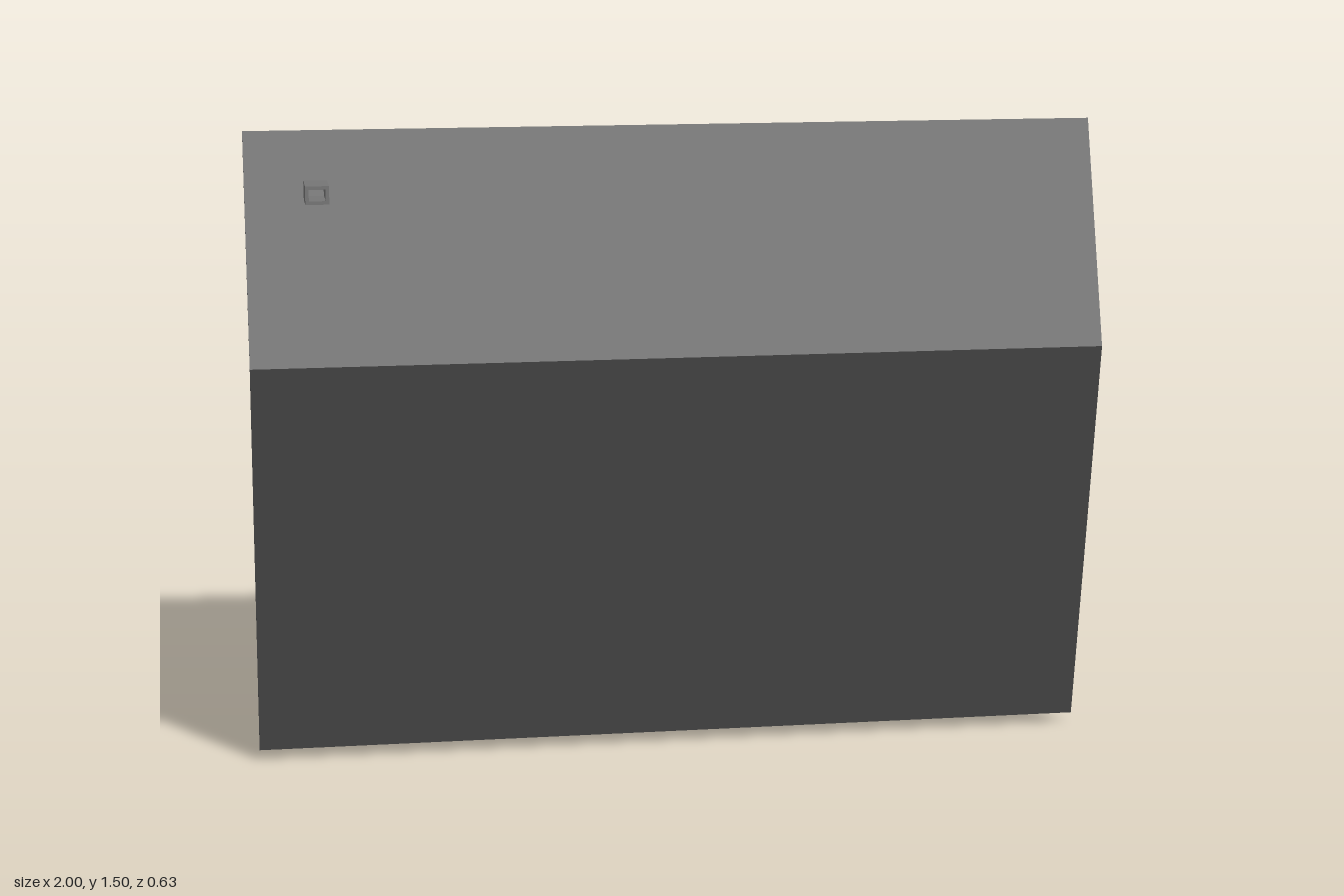
import * as THREE from 'three';

const mat = (color, side = THREE.FrontSide) => new THREE.MeshStandardMaterial({ color, side });
const LOG = mat(0x3d2314), PLANK = mat(0x8a6248), ROOF = mat(0x484848);
const STONE = mat(0x757575), GLASS = mat(0x12c8cc);
const TRUSS_X = [-0.94, -0.225, 0.225, 0.94];

export function createModel() {
  const model = new THREE.Group();
  const group = (name) => {
    const g = new THREE.Group();
    g.name = name;
    model.add(g);
    return g;
  };
  const add = (parent, name, geometry, material) => {
    const m = new THREE.Mesh(geometry, material);
    m.name = name;
    parent.add(m);
    return m;
  };
  // Round timber between two points
  const log = (parent, name, a, b, r = 0.0135) => {
    const p = new THREE.Vector3(...a), q = new THREE.Vector3(...b);
    const d = q.clone().sub(p);
    const m = add(parent, name, new THREE.CylinderGeometry(r, r, d.length(), 12), LOG);
    m.position.copy(p).add(q).multiplyScalar(0.5);
    m.quaternion.setFromUnitVectors(new THREE.Vector3(0, 1, 0), d.normalize());
    return m;
  };
  // Box from its minimum and maximum corners
  const box = (parent, name, a, b, material) => {
    const m = add(parent, name, new THREE.BoxGeometry(b[0] - a[0], b[1] - a[1], b[2] - a[2]), material);
    m.position.set((a[0] + b[0]) / 2, (a[1] + b[1]) / 2, (a[2] + b[2]) / 2);
    return m;
  };
  // Outline of [z, y] points, extruded along x about a centre
  const profile = (parent, name, points, width, x, material) => {
    const shape = new THREE.Shape(points.map((p) => new THREE.Vector2(...p)));
    const geo = new THREE.ExtrudeGeometry(shape, { depth: width, bevelEnabled: false });
    geo.translate(0, 0, -width / 2).rotateY(-Math.PI / 2);
    const m = add(parent, name, geo, material);
    m.position.x = x;
    return m;
  };

  // Foundation block, porch floor and footings
  const base = group('foundation');
  box(base, 'foundationBlock', [-0.965, 0.49, -0.316], [0.965, 1.458, -0.114], STONE);
  box(base, 'porchFloor', [-0.965, 0.17, -0.144], [0.965, 0.49, -0.114], STONE);
  for (const x of TRUSS_X) {
    box(base, 'footing', [x - 0.026, 0.173, -0.316], [x + 0.026, 0.225, -0.144], STONE);
  }

  // Folded roof slab
  profile(group('roof'), 'roofSlab', [
    [0.151, 0.034], [0.318, 0.988], [0.151, 1.512],
    [0.141, 1.509], [0.307, 0.988], [0.141, 0.036],
  ], 2, 0, ROOF);

  // Log walls with crossing corners
  const walls = group('logWalls');
  const step = 0.0318;
  for (let i = 0; i < 10; i++) {
    const z = -0.098 + step * i;
    log(walls, 'porchWallLog', [-0.965, 0.525, z], [0.965, 0.525, z], 0.0168);
    if (i > 7) continue;
    log(walls, 'rearWallLog', [-0.965, 1.425, z], [0.965, 1.425, z], 0.0168);
    for (const s of [-1, 1]) {
      log(walls, 'endWallLog', [s * 0.937, 0.492, z + step / 2], [s * 0.937, 1.456, z + step / 2], 0.0168);
    }
  }

  // Gable boards
  const gables = group('gables');
  for (const s of [-1, 1]) {
    profile(gables, 'gableBoard', [[0.125, 0.525], [0.21, 0.525], [0.3, 0.987], [0.15, 1.435], [0.125, 1.435]],
      0.014, s * 0.93, PLANK);
  }

  // Roof trusses and porch posts
  const frame = group('timberFrame');
  for (const x of TRUSS_X) {
    log(frame, 'lowerRafter', [x, 0.148, 0.15], [x, 0.987, 0.297]);
    log(frame, 'upperRafter', [x, 0.987, 0.297], [x, 1.47, 0.143]);
    log(frame, 'tieBeam', [x, 0.165, 0.128], [x, 1.455, 0.128]);
    log(frame, 'kingPost', [x, 0.987, 0.122], [x, 0.987, 0.297], 0.0125);
    log(frame, 'porchPost', [x, 0.2, -0.114], [x, 0.2, 0.145]);
    if (Math.abs(x) > 0.5) log(frame, 'wallPost', [x, 0.473, -0.114], [x, 0.473, 0.13]);
  }
  log(frame, 'eaveBeam', [-0.965, 0.2, 0.142], [0.965, 0.2, 0.142], 0.016);

  // Porch railings, open at the steps
  const rails = group('railings');
  for (const s of [-1, 1]) {
    log(rails, 'sideRail', [s * 0.94, 0.2, -0.05], [s * 0.94, 0.473, -0.05], 0.009);
    for (let i = 0; i < 5; i++) {
      const y = 0.236 + i * 0.05;
      log(rails, 'sideBaluster', [s * 0.94, y, -0.114], [s * 0.94, y, -0.05], 0.007);
    }
    log(rails, 'frontRail', [s * 0.225, 0.2, -0.05], [s * 0.94, 0.2, -0.05], 0.009);
    for (let i = 1; i < 14; i++) {
      const x = s * (0.225 + i * 0.051);
      log(rails, 'frontBaluster', [x, 0.2, -0.114], [x, 0.2, -0.05], 0.007);
    }
  }

  // Steps
  const steps = group('steps');
  for (const x of [-0.225, 0.225]) {
    log(steps, 'stringer', [x, 0.19, -0.092], [x, 0.015, -0.215], 0.012);
  }
  for (let i = 0; i < 7; i++) {
    const t = (i + 0.7) / 7.6;
    const y = 0.19 - 0.175 * t, z = -0.092 - 0.123 * t;
    box(steps, 'tread', [-0.225, y - 0.009, z - 0.004], [0.225, y + 0.009, z + 0.004], PLANK);
  }

  // End windows with glazing bars
  const windows = group('windows');
  for (const [s, y0] of [[1, 1.04], [-1, 0.595]]) {
    const y1 = y0 + 0.324, x = s * 0.953;
    const slab = (name, ya, yb, za, zb, h, m) => box(windows, name, [x - h, ya, za], [x + h, yb, zb], m);
    slab('pane', y0, y1, -0.048, 0.048, 0.006, GLASS);
    for (const z of [-0.048, 0, 0.048]) slab('uprightBar', y0, y1, z - 0.002, z + 0.002, 0.009, PLANK);
    for (let i = 0; i < 5; i++) {
      const y = y0 + i * 0.081;
      slab('crossBar', y - 0.002, y + 0.002, -0.048, 0.048, 0.009, PLANK);
    }
  }

  // Hollow chimney
  const chimney = new THREE.Shape();
  const rect = (p, w, h) => p.moveTo(-w, -h).lineTo(w, -h).lineTo(w, h).lineTo(-w, h).closePath();
  rect(chimney, 0.027, 0.021);
  const flue = new THREE.Path();
  rect(flue, 0.019, 0.013);
  chimney.holes.push(flue);
  const stack = add(model, 'chimney', new THREE.ExtrudeGeometry(chimney, { depth: 0.116, bevelEnabled: false }), STONE);
  stack.position.set(-0.838, 1.379, 0.18);

  return model;
}
